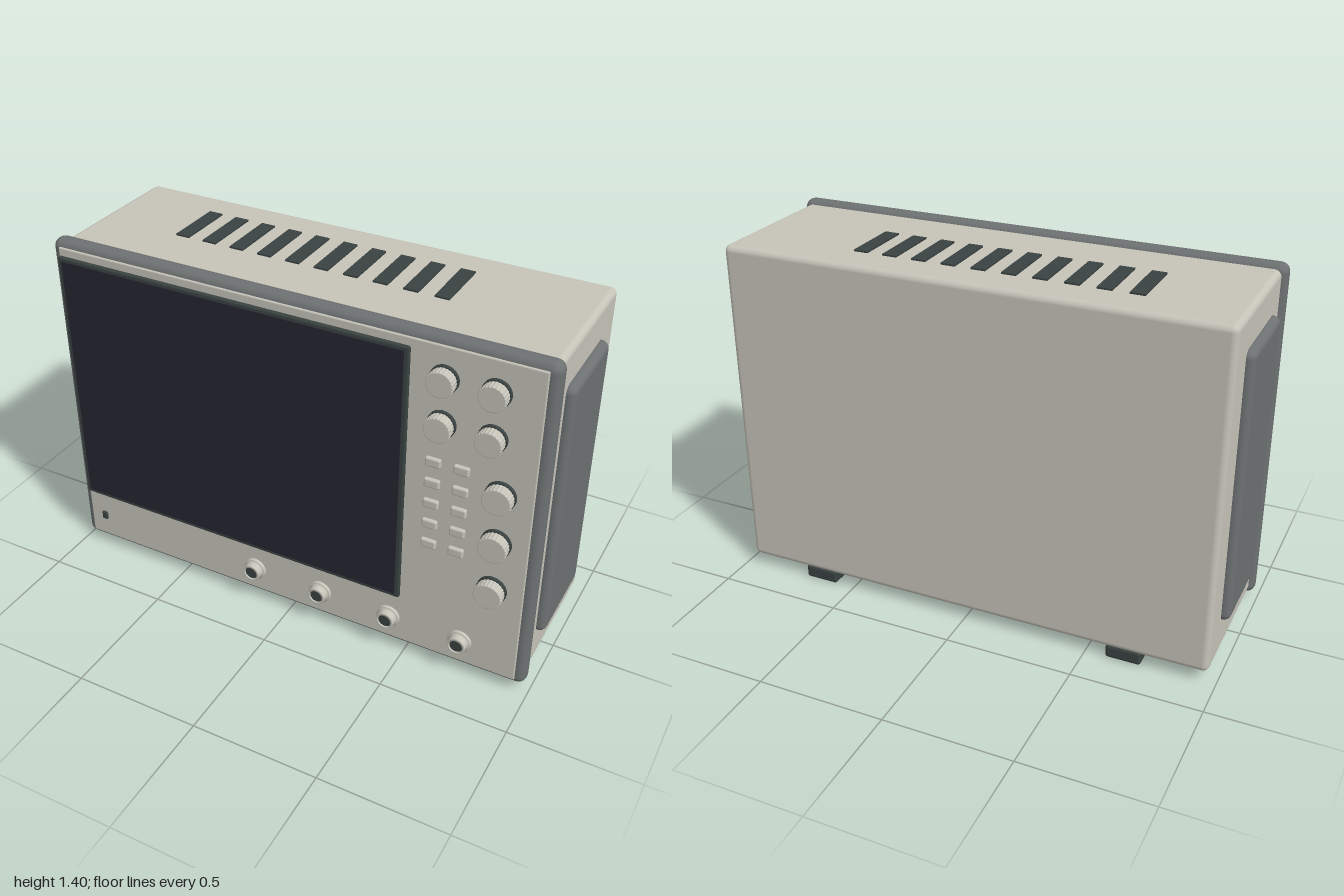
import * as THREE from 'three';
import { RoundedBoxGeometry } from 'three/addons/geometries/RoundedBoxGeometry.js';

const material = (name, color) => {
  const m = new THREE.MeshStandardMaterial({ color });
  m.name = name;
  return m;
};

export function createModel() {
  const shell = material('warm grey shell', 0xc6c4b9);
  const trim = material('mid grey trim', 0x6d7171);
  const dark = material('dark rubber', 0x3a4242);
  const glass = material('screen glass', 0x252532);

  const model = new THREE.Group();
  model.name = 'benchInstrument';

  const add = (name, geometry, mat, x, y, z) => {
    const mesh = new THREE.Mesh(geometry, mat);
    mesh.name = name;
    mesh.position.set(x, y, z);
    model.add(mesh);
    return mesh;
  };
  // Rounded box given by its limits on each axis
  const block = (name, mat, [x0, x1], [y0, y1], [z0, z1], radius) =>
    add(name, new RoundedBoxGeometry(x1 - x0, y1 - y0, z1 - z0, 3, radius), mat,
      (x0 + x1) / 2, (y0 + y1) / 2, (z0 + z1) / 2);
  // Lathe whose axis points towards the front
  const turned = (points) =>
    new THREE.LatheGeometry(points.map(([r, z]) => new THREE.Vector2(r, z)), 32).rotateX(Math.PI / 2);

  // Case, front bezel and front panel
  block('case', shell, [-0.969, 0.967], [0.045, 1.382], [-0.352, 0.26], 0.025);
  block('bezel', trim, [-0.99, 0.985], [0.03, 1.4], [0.222, 0.297], 0.035);
  block('frontPanel', shell, [-0.955, 0.948], [0.055, 1.374], [0.27, 0.302], 0.006);

  // Raised side grips
  for (const s of [-1, 1]) {
    const x = [0.92, 1].map((v) => v * s).sort((a, b) => a - b);
    block(s > 0 ? 'leftGrip' : 'rightGrip', trim, x, [0.185, 1.248], [-0.218, 0.16], 0.03);
  }

  // Screen with its frame
  block('screenFrame', dark, [-0.953, 0.478], [0.268, 1.342], [0.29, 0.315], 0.008);
  add('screen', new THREE.BoxGeometry(1.395, 1.04, 0.006), glass, -0.2375, 0.806, 0.315);

  // Ventilation slots on the top
  for (let i = 0; i < 10; i++) {
    add('topVent', new THREE.BoxGeometry(0.056, 0.009, 0.235), dark, -0.59 + i * 0.117, 1.384, -0.094);
  }

  // Feet
  for (const x of [-0.648, 0.645]) {
    for (const z of [-0.27, 0.165]) {
      block('foot', dark, [x - 0.069, x + 0.069], [0, 0.055], [z - 0.081, z + 0.081], 0.012);
    }
  }

  // Finely fluted rotary knobs on dark collars
  const knob = (name, x, y, radius) => {
    const outline = new THREE.Shape();
    const flutes = 24;
    for (let i = 0; i < flutes * 2; i++) {
      const a = (i / (flutes * 2)) * Math.PI * 2;
      const r = radius - 0.003 - (i % 2) * 0.0018;
      outline[i ? 'lineTo' : 'moveTo'](Math.cos(a) * r, Math.sin(a) * r);
    }
    const grip = new THREE.ExtrudeGeometry(outline, {
      depth: 0.034, bevelEnabled: true, bevelThickness: 0.003, bevelSize: 0.003, bevelSegments: 2,
    });
    add(name, grip, shell, x, y, 0.318);
    const collar = new THREE.CylinderGeometry(radius + 0.003, radius + 0.003, 0.016, 32);
    add(name + 'Collar', collar.rotateX(Math.PI / 2), dark, x, y, 0.308);
  };
  for (const x of [0.603, 0.785]) {
    for (const y of [1.255, 1.08]) knob('smallKnob', x, y, 0.049);
  }
  for (const y of [0.863, 0.66, 0.45]) knob('largeKnob', 0.831, y, 0.053);

  // Two columns of push buttons
  for (const x of [0.581, 0.686]) {
    for (let row = 0; row < 5; row++) {
      const y = 0.918 - row * 0.088;
      block('button', shell, [x - 0.029, x + 0.029], [y - 0.018, y + 0.018], [0.29, 0.316], 0.007);
    }
  }

  // Input sockets: flange, barrel and dark core
  for (const x of [-0.15, 0.142, 0.435, 0.726]) {
    add('socketBarrel', turned([
      [0.047, -0.01], [0.047, 0.011], [0.045, 0.013], [0.036, 0.013],
      [0.036, 0.037], [0.034, 0.039], [0.026, 0.039], [0.026, 0.02],
    ]), shell, x, 0.157, 0.302);
    add('socketCore', new THREE.CylinderGeometry(0.026, 0.026, 0.03, 24).rotateX(Math.PI / 2), dark, x, 0.157, 0.322);
  }

  // Power button
  block('powerButton', dark, [-0.898, -0.872], [0.138, 0.176], [0.295, 0.31], 0.006);

  return model;
}
